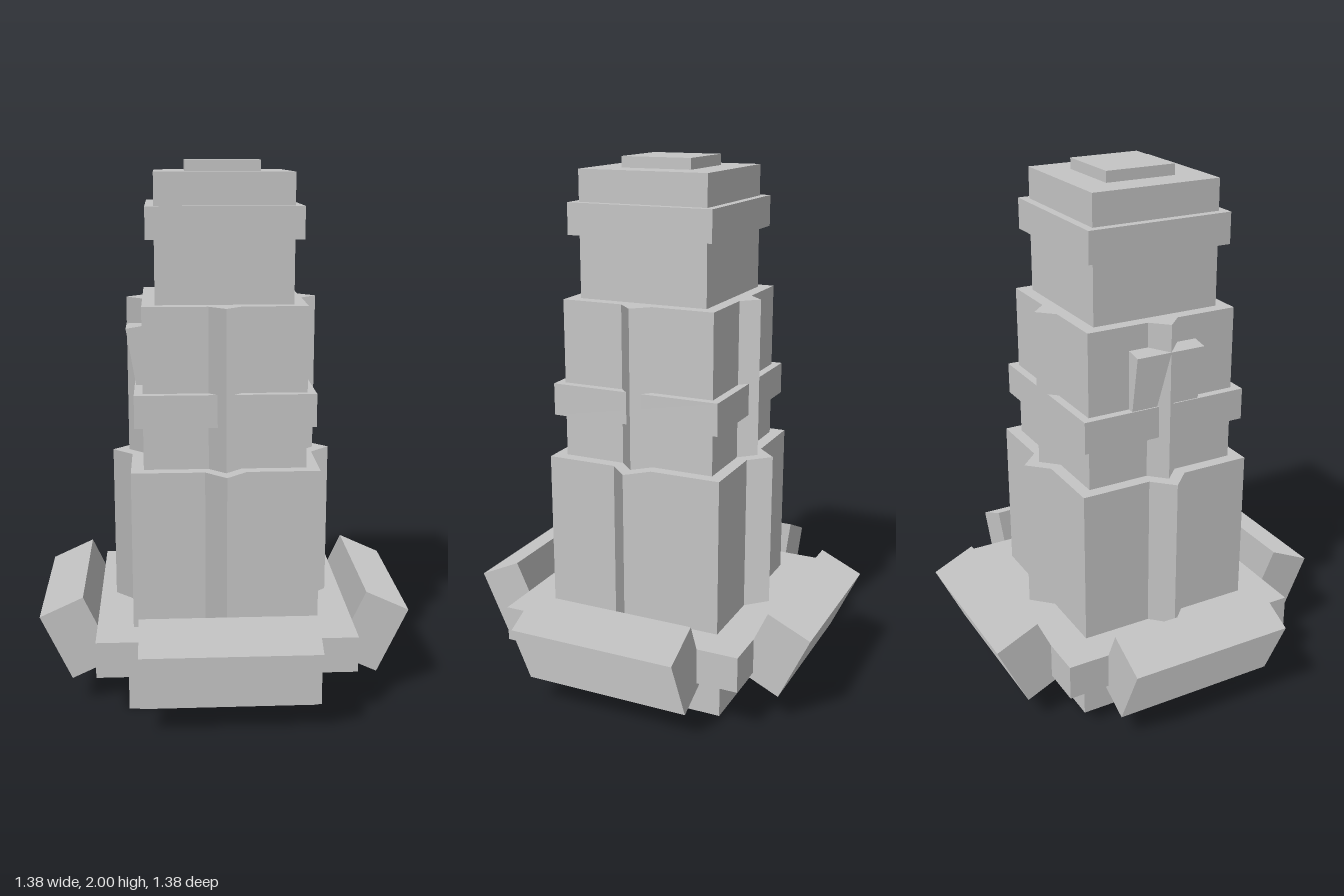
import * as THREE from 'three';

export function createModel() {
  const model = new THREE.Group();
  const stone = new THREE.MeshStandardMaterial({ color: 0xc5c5c5 });
  stone.name = 'light stone grey';

  const box = (name, w, h, d, parent = model) => {
    const mesh = new THREE.Mesh(new THREE.BoxGeometry(w, h, d), stone);
    mesh.name = name;
    parent.add(mesh);
    return mesh;
  };

  // Turns only the corners of a box, so each face keeps its straight-on shading
  const turnCorners = (mesh, rx, ry, rz) => {
    const turn = new THREE.Matrix4().makeRotationFromEuler(new THREE.Euler(rx, ry, rz));
    mesh.geometry.attributes.position.applyMatrix4(turn);
  };

  // Square block centred on the axis, from y0 to y1
  const block = (name, half, y0, y1) => {
    const mesh = box(name, half * 2, y1 - y0, half * 2);
    mesh.position.y = (y0 + y1) / 2;
    return mesh;
  };

  // Square tier with a diamond prism through it, giving a ridge on each side
  const ridgedTier = (name, half, ridge, y0, y1) => {
    block(name, half, y0, y1);
    turnCorners(block(name + 'Ridges', ridge / Math.SQRT2, y0, y1), 0, Math.PI / 4, 0);
  };

  // Foundation
  block('base', 0.362, 0, 0.19);
  block('baseSlab', 0.475, 0.185, 0.32);

  // Tower tiers
  ridgedTier('lowerTier', 0.341, 0.416, 0.32, 0.91);
  ridgedTier('middleTier', 0.295, 0.355, 0.91, 1.5);
  block('middleBand', 0.326, 1.07, 1.19);
  block('upperTier', 0.248, 1.5, 1.96);
  block('upperBand', 0.279, 1.73, 1.845);
  block('cap', 0.135, 1.96, 2);

  // Four sloping buttresses, leaning outwards round the base
  for (let i = 0; i < 4; i++) {
    const side = new THREE.Group();
    side.name = 'buttress' + (i + 1);
    side.rotation.y = i * Math.PI / 2;
    const slab = box('buttressSlab', 0.178, 0.272, 0.636, side);
    slab.position.set(0.55, 0.27, 0);
    turnCorners(slab, 0, 0, -0.435);
    model.add(side);
  }

  // Tilted plate on the right side of the middle tier
  const plate = box('tiltedPlate', 0.15, 0.35, 0.27);
  plate.position.set(-0.253, 1.239, 0);
  turnCorners(plate, 0, 0, 0.166);

  return model;
}
